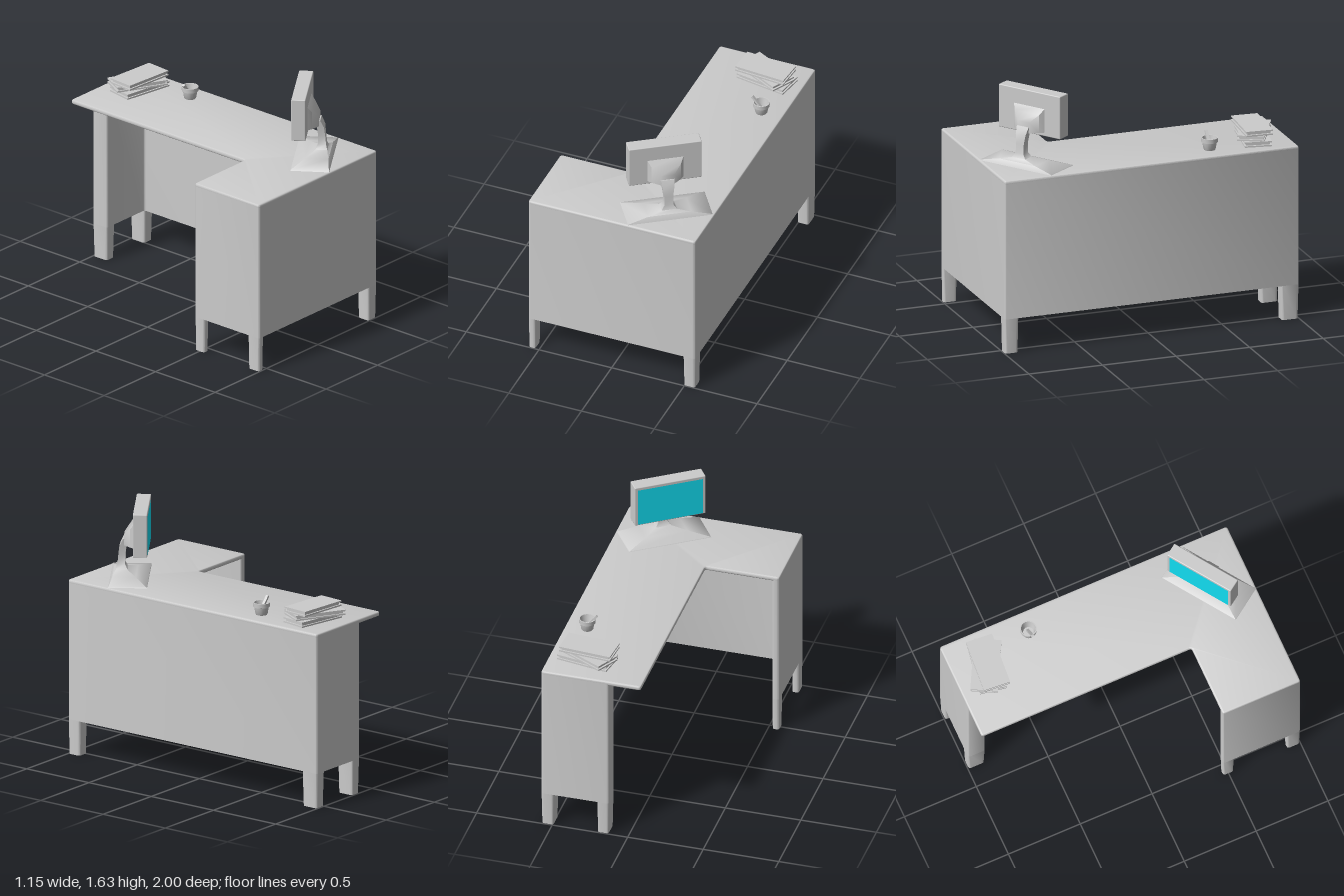
import * as THREE from 'three';
import { toCreasedNormals } from 'three/addons/utils/BufferGeometryUtils.js';
import { RoundedBoxGeometry } from 'three/addons/geometries/RoundedBoxGeometry.js';

const grey = new THREE.MeshStandardMaterial({ color: 0xcccccc });
const greyOpen = new THREE.MeshStandardMaterial({ color: 0xcccccc, side: THREE.DoubleSide });
const teal = new THREE.MeshStandardMaterial({ color: 0x12dff4 });

const TOP = 1.155;
const X = 0.574;
const SKIRT = 0.23;

function add(parent, name, geometry, material = grey) {
  const mesh = new THREE.Mesh(geometry, material);
  mesh.name = name;
  parent.add(mesh);
  return mesh;
}

// Plan outline of [x, z] corners with small rounded corners
function roundedPlan(points, radius) {
  const shape = new THREE.Shape();
  const v = points.map(([x, z]) => new THREE.Vector2(x, -z));
  v.forEach((p, i) => {
    const toward = (q) => p.clone().add(q.clone().sub(p).setLength(radius));
    const a = toward(v[(i + v.length - 1) % v.length]);
    const b = toward(v[(i + 1) % v.length]);
    if (i === 0) shape.moveTo(a.x, a.y);
    else shape.lineTo(a.x, a.y);
    shape.quadraticCurveTo(p.x, p.y, b.x, b.y);
  });
  shape.closePath();
  return shape;
}

// Upright solid over a plan outline, from y0 to y1, with optional bevel
function slab(points, y0, y1, bevel = 0) {
  const geometry = new THREE.ExtrudeGeometry(roundedPlan(points, 0.018), {
    depth: y1 - y0 - 2 * bevel, steps: 1, curveSegments: 4,
    bevelEnabled: bevel > 0, bevelThickness: bevel, bevelSize: bevel,
    bevelOffset: -bevel, bevelSegments: 3,
  });
  return geometry.rotateX(-Math.PI / 2).translate(0, y0 + bevel, 0);
}

// Rectangular cross-sections [y, centreZ, width, depth] joined upward
function loft(sections) {
  const position = [];
  const index = [];
  for (const [y, cz, w, d] of sections) {
    for (const [sx, sz] of [[-1, -1], [1, -1], [1, 1], [-1, 1]]) {
      position.push(sx * w / 2, y, cz + sz * d / 2);
    }
  }
  const last = (sections.length - 1) * 4;
  for (let s = 0; s < last; s += 4) {
    for (let j = 0; j < 4; j++) {
      const a = s + j, b = s + (j + 1) % 4;
      index.push(a, a + 4, b, b, a + 4, b + 4);
    }
  }
  index.push(0, 1, 2, 0, 2, 3, last, last + 2, last + 1, last, last + 3, last + 2);
  const geometry = new THREE.BufferGeometry();
  geometry.setAttribute('position', new THREE.Float32BufferAttribute(position, 3));
  geometry.setIndex(index);
  return geometry;
}

const smooth = (geometry, angle = 0.65) => toCreasedNormals(geometry, angle);

function createDesk() {
  const desk = new THREE.Group();
  desk.name = 'desk';

  // L-shaped top with softened edge
  add(desk, 'deskTop', smooth(slab(
    [[-0.085, -1], [X, -1], [X, 1], [-X, 1], [-X, 0.46], [-0.085, 0.46]],
    TOP - 0.03, TOP, 0.01)));

  // Continuous panels around the outer sides and both ends, as deep as the legs
  add(desk, 'sidePanels', smooth(slab([
    [0.125, -1], [X, -1], [X, 1], [-X, 1], [-X, 0.46],
    [-0.525, 0.46], [-0.525, 0.905], [0.49, 0.905], [0.49, -0.88], [0.125, -0.88],
  ], SKIRT, TOP - 0.01)));

  // Slightly tapered legs below the panels
  const legs = [
    [0.125, 0.205, -1, -0.88], [0.49, X, -1, -0.88], [0.49, X, 0.905, 1],
    [-X, -0.525, 0.905, 1], [-X, -0.525, 0.46, 0.54],
  ];
  for (const [x0, x1, z0, z1] of legs) {
    const geometry = slab([[x0, z0], [x1, z0], [x1, z1], [x0, z1]], 0, SKIRT);
    const p = geometry.attributes.position;
    const cx = (x0 + x1) / 2, cz = (z0 + z1) / 2;
    for (let i = 0; i < p.count; i++) {
      const k = 0.9 + 0.1 * p.getY(i) / SKIRT;
      p.setX(i, cx + (p.getX(i) - cx) * k);
      p.setZ(i, cz + (p.getZ(i) - cz) * k);
    }
    add(desk, 'leg', smooth(geometry));
  }
  return desk;
}

function createMonitor() {
  const monitor = new THREE.Group();
  monitor.name = 'monitor';
  monitor.position.set(0.268, 0, 0.738);
  monitor.rotation.y = 0.604;

  // Sloping foot that narrows into the neck
  add(monitor, 'stand', smooth(loft([
    [TOP, 0, 0.55, 0.248], [1.159, 0, 0.546, 0.245], [1.187, 0.03, 0.28, 0.15],
    [1.21, 0.05, 0.1, 0.075], [1.24, 0.053, 0.06, 0.05],
    [1.3, 0.05, 0.058, 0.045], [1.36, 0.043, 0.075, 0.045], [1.41, 0.012, 0.09, 0.06],
  ]), 1));

  // Casing, with a tapered hump on its back
  add(monitor, 'casing', new RoundedBoxGeometry(0.474, 0.285, 0.092, 2, 0.006))
    .position.set(0, 1.488, -0.077);
  const hump = loft([
    [-0.04, -1.455, 0.25, 0.17], [-0.005, -1.43, 0.19, 0.12], [0.035, -1.405, 0.085, 0.07],
  ]);
  add(monitor, 'backHump', smooth(hump.rotateX(Math.PI / 2), 1));

  // Coloured display
  const display = add(monitor, 'display', new THREE.PlaneGeometry(0.435, 0.258), teal);
  display.position.set(0, 1.481, -0.124);
  display.rotation.y = Math.PI;
  return monitor;
}

function createBook() {
  const book = new THREE.Group();
  book.name = 'book';
  for (const y of [0.005, 0.03]) {
    add(book, 'cover', new THREE.BoxGeometry(0.345, 0.01, 0.175)).position.y = y;
  }
  add(book, 'pages', new THREE.BoxGeometry(0.32, 0.017, 0.155)).position.y = 0.0175;
  return book;
}

function createCup() {
  const cup = new THREE.Group();
  cup.name = 'cup';
  cup.position.set(0.43, TOP, -0.445);
  const profile = [
    [0, 0], [0.036, 0], [0.039, 0.005], [0.047, 0.05], [0.053, 0.052],
    [0.054, 0.08], [0.047, 0.08], [0.042, 0.05], [0.034, 0.015], [0, 0.015],
  ].map(([r, y]) => new THREE.Vector2(r, y));
  add(cup, 'cupBody', smooth(new THREE.LatheGeometry(profile, 20)), greyOpen);
  // Stirrer leaning out over the rim
  const stirrer = add(cup, 'stirrer', new THREE.BoxGeometry(0.014, 0.12, 0.018));
  stirrer.position.set(-0.025, 0.062, 0);
  stirrer.rotation.z = 0.7;
  return cup;
}

export function createModel() {
  const model = new THREE.Group();
  model.name = 'cornerDesk';
  model.add(createDesk(), createMonitor(), createCup());

  // Loosely stacked books
  [[-0.17, 0.33, -0.78], [-0.49, 0.32, -0.79], [-0.08, 0.32, -0.775]].forEach(([turn, x, z], i) => {
    const book = createBook();
    book.position.set(x, TOP + i * 0.035, z);
    book.rotation.y = turn;
    model.add(book);
  });
  return model;
}
